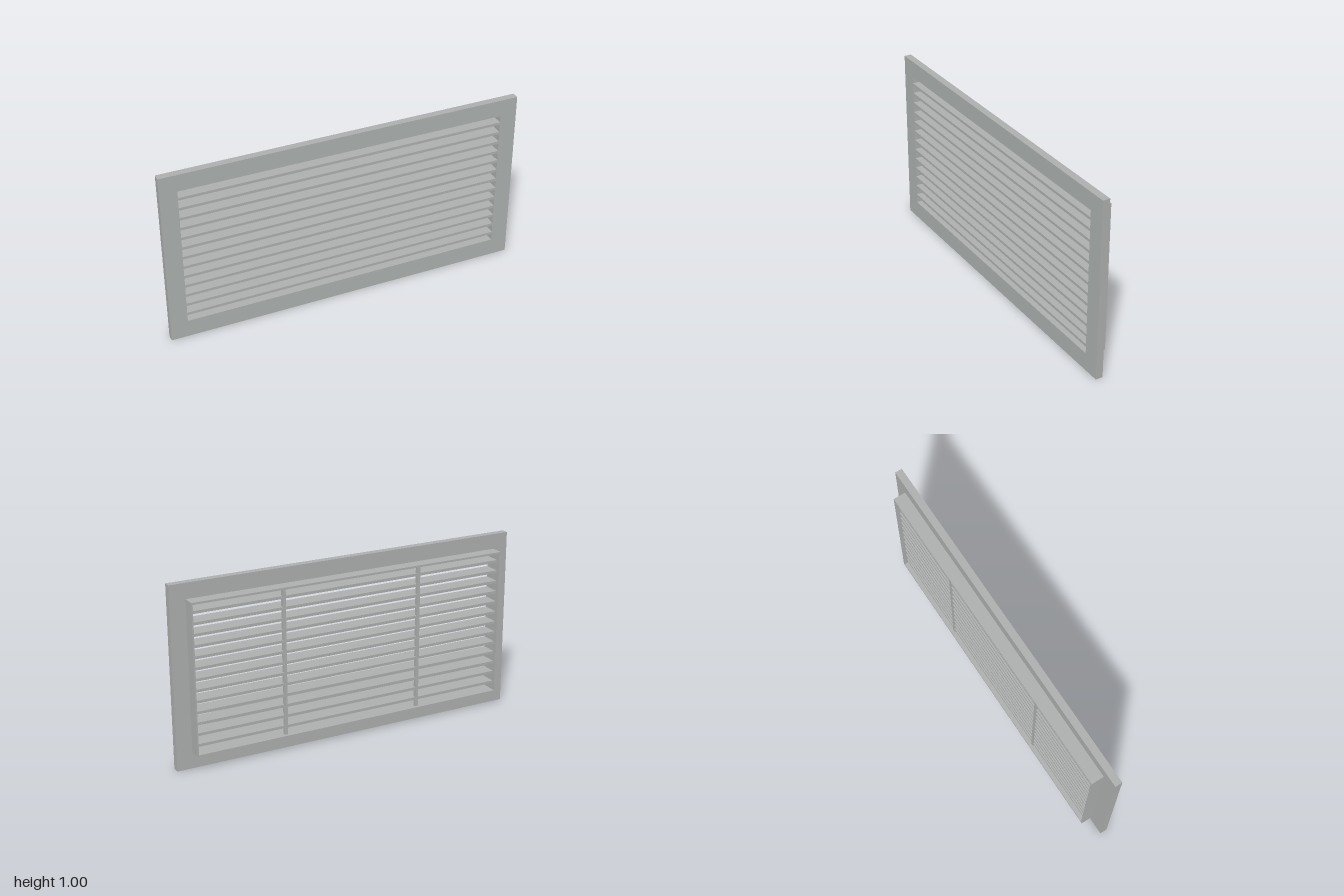
import * as THREE from 'three';

const FRONT = 0.055, STEP = 0.015, BACK = -0.055; // depth planes
const INNER_BACK = -0.037;                        // slats stop short of the collar rim
const OPEN_W = 1.81, OPEN_H = 0.806, MID_Y = 0.502;

function rectPoints(w, h, cy) {
  return [[-w / 2, cy - h / 2], [w / 2, cy - h / 2], [w / 2, cy + h / 2], [-w / 2, cy + h / 2]]
    .map(([x, y]) => new THREE.Vector2(x, y));
}

export function createModel() {
  const group = new THREE.Group();
  const metal = new THREE.MeshStandardMaterial({ color: 0xabafad });
  metal.name = 'grey metal';

  function add(name, geometry, x = 0, y = 0, z = 0) {
    const mesh = new THREE.Mesh(geometry, metal);
    mesh.name = name;
    mesh.position.set(x, y, z);
    group.add(mesh);
  }

  // Rectangular ring with the grille opening cut through it
  function ring(w, h, cy, z0, z1) {
    const shape = new THREE.Shape(rectPoints(w, h, cy));
    shape.holes.push(new THREE.Path(rectPoints(OPEN_W, OPEN_H, MID_Y).reverse()));
    const geometry = new THREE.ExtrudeGeometry(shape, { depth: z1 - z0, bevelEnabled: false });
    return geometry.translate(0, 0, z0);
  }

  add('frontFrame', ring(2, 1, 0.5, STEP, FRONT));
  add('rearCollar', ring(1.826, 0.828, MID_Y, BACK, STEP));

  // Horizontal slats, flush with the front of the frame
  const slats = 13, pitch = 0.0595, depth = FRONT - INNER_BACK;
  for (let i = 0; i < slats; i++) {
    const y = MID_Y + (i - (slats - 1) / 2) * pitch;
    add(`slat${i + 1}`, new THREE.BoxGeometry(OPEN_W, 0.015, depth), 0, y, (FRONT + INNER_BACK) / 2);
  }

  // Two upright braces along the back edges of the slats
  const braceDepth = 0.018;
  for (const [name, x] of [['leftBrace', 0.4], ['rightBrace', -0.4]]) {
    add(name, new THREE.BoxGeometry(0.018, OPEN_H, braceDepth), x, MID_Y, INNER_BACK + braceDepth / 2);
  }

  return group;
}
